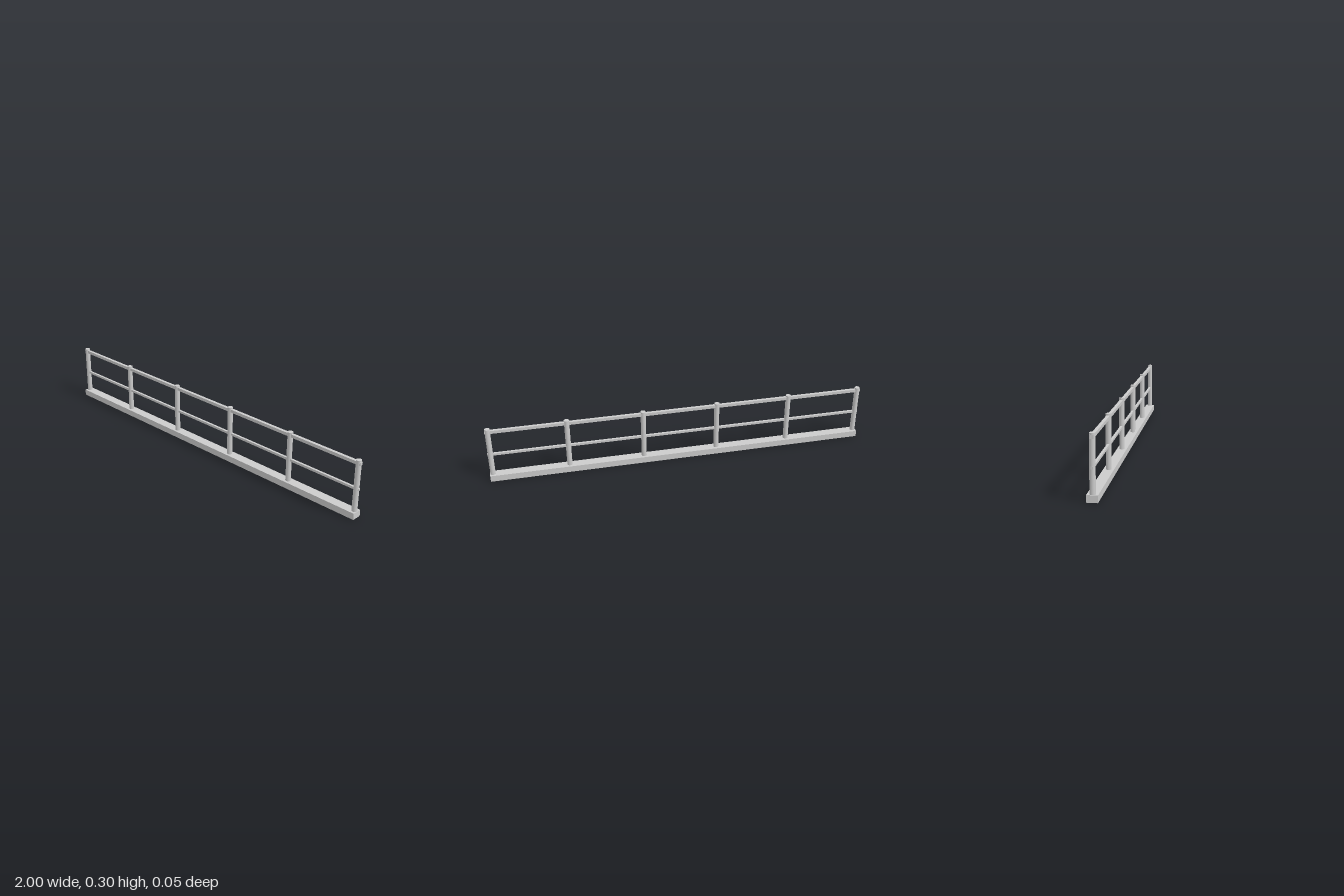
import * as THREE from 'three';

export function createModel() {
  const model = new THREE.Group();
  const material = new THREE.MeshStandardMaterial({ color: 0xcccccc });

  function add(name, geometry, x, y) {
    const mesh = new THREE.Mesh(geometry, material);
    mesh.name = name;
    mesh.position.set(x, y, 0);
    model.add(mesh);
  }

  // Long kerb carrying the railing
  const baseHeight = 0.033;
  add('base', new THREE.BoxGeometry(2, baseHeight, 0.05), 0, baseHeight / 2);

  // Six evenly spaced round posts
  const top = 0.296;
  const postCount = 6;
  const postHeight = top - baseHeight;
  const postGeometry = new THREE.CylinderGeometry(0.0135, 0.0135, postHeight, 24);
  for (let i = 0; i < postCount; i++) {
    const x = -0.985 + (1.97 * i) / (postCount - 1);
    add('post' + (i + 1), postGeometry, x, baseHeight + postHeight / 2);
  }

  // Square rails running through the posts
  add('topRail', new THREE.BoxGeometry(2, 0.016, 0.016), 0, 0.28);
  add('middleRail', new THREE.BoxGeometry(2, 0.012, 0.012), 0, 0.149);

  return model;
}
